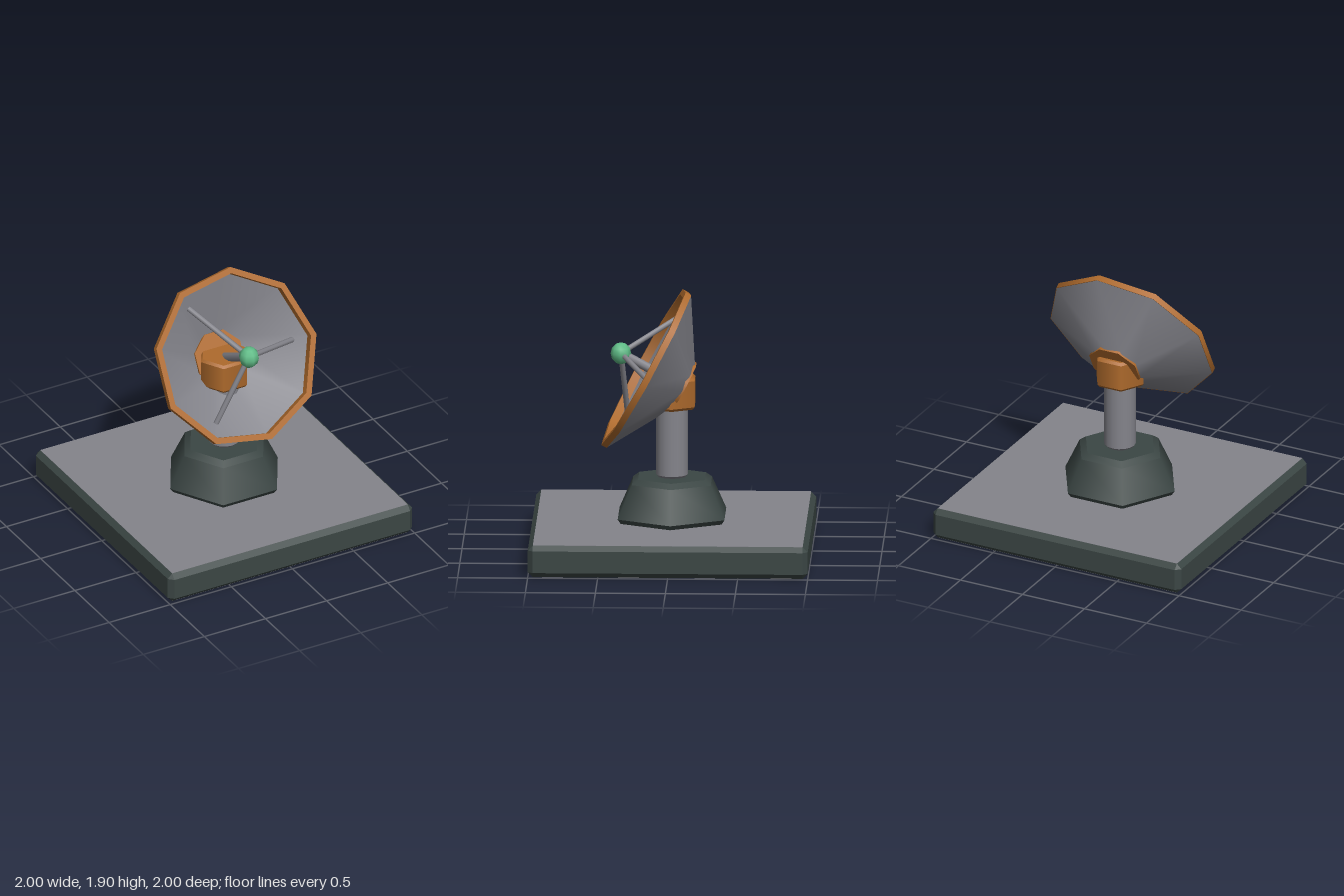
import * as THREE from 'three';
import { mergeGeometries } from 'three/addons/utils/BufferGeometryUtils.js';
import { ConvexGeometry } from 'three/addons/geometries/ConvexGeometry.js';

const mat = (name, color, side = THREE.FrontSide) =>
  Object.assign(new THREE.MeshStandardMaterial({ color, side }), { name });

// Turned shape: smooth around the axis, crisp between profile bands; one corner points to +x
function turned(profile, sides, offset = 0) {
  const bands = [];
  for (let i = 0; i < profile.length - 1; i++) {
    const pts = [profile[i], profile[i + 1]].map(([r, y]) => new THREE.Vector2(r, y));
    bands.push(new THREE.LatheGeometry(pts, sides, Math.PI / 2 + offset));
  }
  return mergeGeometries(bands);
}

// Round rod between two points
function rod(a, b, radius) {
  const dir = b.clone().sub(a);
  const g = new THREE.CylinderGeometry(radius, radius, dir.length(), 8);
  g.applyQuaternion(new THREE.Quaternion().setFromUnitVectors(
    new THREE.Vector3(0, 1, 0), dir.clone().normalize()));
  const mid = a.clone().add(b).multiplyScalar(0.5);
  return g.translate(mid.x, mid.y, mid.z);
}

// Box with all edges chamfered
function chamferedBox(hx, hy, hz, c) {
  const pts = [];
  for (const x of [-1, 1]) for (const y of [-1, 1]) for (const z of [-1, 1]) {
    pts.push(new THREE.Vector3(x * hx, y * (hy - c), z * (hz - c)));
    pts.push(new THREE.Vector3(x * (hx - c), y * hy, z * (hz - c)));
    pts.push(new THREE.Vector3(x * (hx - c), y * (hy - c), z * hz));
  }
  return new ConvexGeometry(pts);
}

export function createModel() {
  const dark = mat('dark green grey', 0x3b4644);
  const grey = mat('steel grey', 0x84848b, THREE.DoubleSide);
  const orange = mat('burnt orange', 0xae6a2c);
  const green = mat('feed green', 0x5fbb86);

  const model = new THREE.Group();
  model.name = 'dishAntenna';
  const add = (parent, name, geometry, material) => {
    const m = new THREE.Mesh(geometry, material);
    m.name = name;
    parent.add(m);
    return m;
  };

  // Base slab with grey top and bottom panels
  add(model, 'baseSlab', chamferedBox(1, 0.115, 1, 0.036), dark).position.y = 0.115;
  add(model, 'baseTopPanel', new THREE.BoxGeometry(1.928, 0.004, 1.928), grey).position.y = 0.2295;
  add(model, 'baseBottomPanel', new THREE.BoxGeometry(1.928, 0.004, 1.928), grey).position.y = 0.001;

  // Hexagonal pedestal, post and collar
  add(model, 'pedestal', turned(
    [[0.415, 0.23], [0.44, 0.265], [0.325, 0.505], [0.275, 0.54], [0, 0.54]], 6), dark);
  add(model, 'post', turned(
    [[0.1, 0.54], [0.114, 0.556], [0.114, 1.2]], 16), grey);
  add(model, 'collar', turned(
    [[0, 1.043], [0.172, 1.043], [0.19, 1.062], [0.19, 1.252], [0.172, 1.27], [0, 1.27]], 6), orange);

  // Dish assembly: local +y is the axis the dish looks along
  const dish = new THREE.Group();
  dish.name = 'dish';
  dish.position.set(0, 1.345, 0.2);
  dish.rotation.x = 1.075;
  model.add(dish);

  add(dish, 'reflector', turned([[0, -0.314], [0.19, -0.314], [0.641, -0.045]], 9), grey);
  add(dish, 'rim', turned(
    [[0.6, -0.045], [0.645, -0.045], [0.645, 0], [0.6, 0], [0.6, -0.06]], 9), orange);
  add(dish, 'hub', turned(
    [[0, -0.325], [0.2, -0.325], [0.2, -0.295], [0, -0.295]], 8, Math.PI / 8), orange);

  // Feed horn on a central stem and three struts
  const focus = new THREE.Vector3(0, 0.187, 0);
  add(dish, 'feedStem', rod(new THREE.Vector3(0, -0.3, 0), focus, 0.033), grey);
  for (let i = 0; i < 3; i++) {
    const a = (i * Math.PI * 2) / 3;
    const foot = new THREE.Vector3(0.49 * Math.cos(a), -0.09, -0.49 * Math.sin(a));
    add(dish, 'feedStrut' + (i + 1), rod(foot, focus, 0.02), grey);
  }
  const feed = add(model, 'feed', new THREE.SphereGeometry(0.078, 8, 6), green);
  feed.position.set(0, 1.433, 0.365);
  feed.scale.set(0.95, 1.02, 0.95);

  return model;
}
